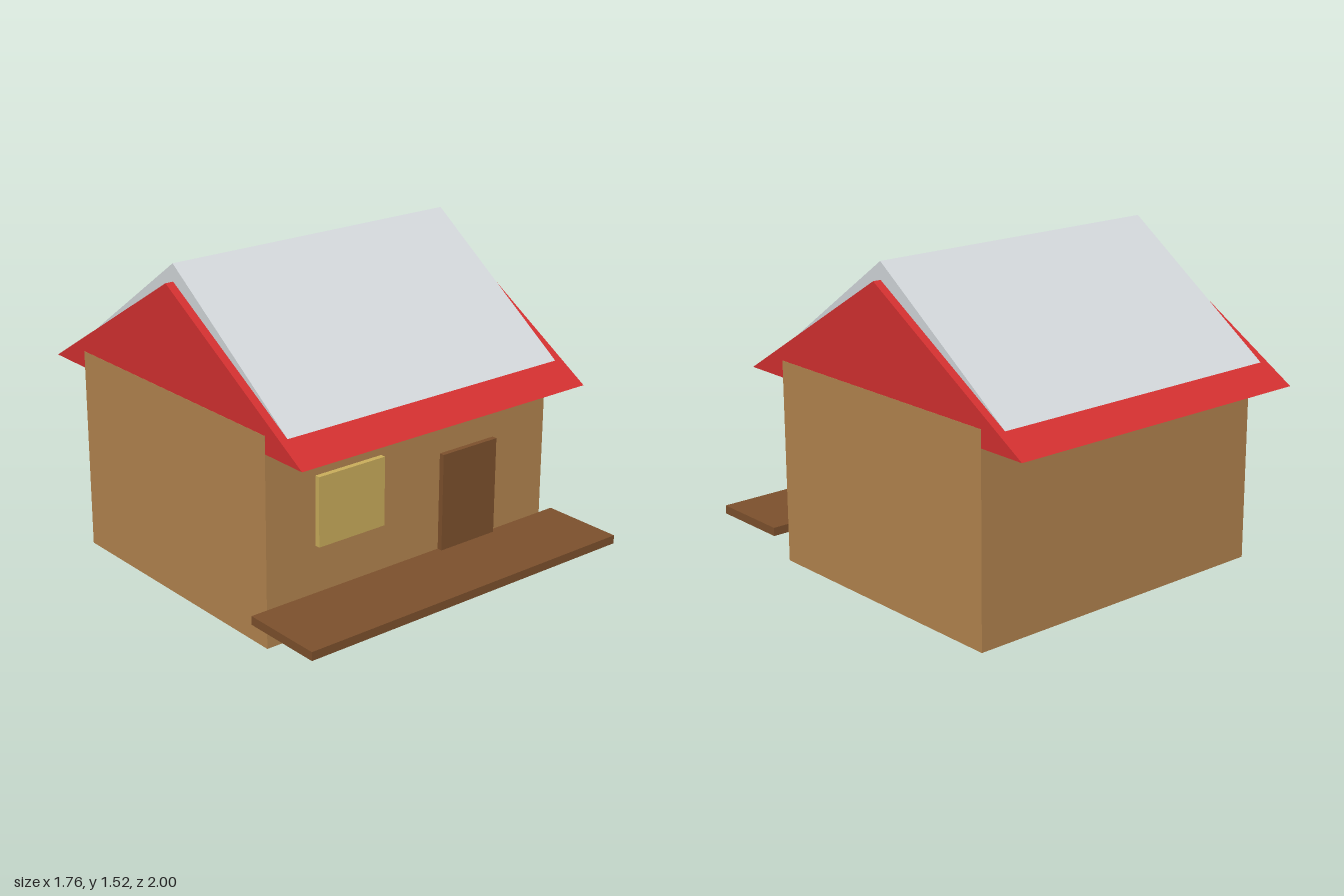
import * as THREE from 'three';

const paint = (name, color) => {
  const m = new THREE.MeshStandardMaterial({ color });
  m.name = name;
  return m;
};

export function createModel() {
  const house = new THREE.Group();
  house.name = 'house';

  const wall = paint('tan wall', 0xb4854f);
  const wood = paint('brown wood', 0x7d512d);
  const glass = paint('yellow window', 0xcbae5c);
  const red = paint('red roof', 0xd33030);
  const grey = paint('pale grey roofing', 0xd3d8db);

  const add = (name, geometry, material) => {
    const mesh = new THREE.Mesh(geometry, material);
    mesh.name = name;
    house.add(mesh);
    return mesh;
  };

  // Box given by its lower and upper corners
  const box = (name, material, [x0, y0, z0], [x1, y1, z1]) =>
    add(name, new THREE.BoxGeometry(x1 - x0, y1 - y0, z1 - z0), material)
      .position.set((x0 + x1) / 2, (y0 + y1) / 2, (z0 + z1) / 2);

  // Triangular prism with its ridge along x
  const ridgeZ = -0.08;
  const gable = (name, material, halfWidth, halfDepth, eaveY, ridgeY) => {
    const profile = new THREE.Shape([
      new THREE.Vector2(-halfDepth, eaveY),
      new THREE.Vector2(halfDepth, eaveY),
      new THREE.Vector2(0, ridgeY),
    ]);
    const g = new THREE.ExtrudeGeometry(profile, { depth: halfWidth * 2, bevelEnabled: false });
    g.translate(0, 0, -halfWidth).rotateY(Math.PI / 2).translate(0, 0, ridgeZ);
    add(name, g, material);
  };

  box('walls', wall, [-0.8, 0, -0.76], [0.8, 0.96, 0.6]);
  box('door', wood, [0.16, 0.002, 0.59], [0.48, 0.64, 0.625]);
  box('window', glass, [-0.54, 0.4, 0.59], [-0.18, 0.72, 0.625]);
  box('porch', wood, [-0.88, 0.14, 0.6], [0.88, 0.18, 1]);

  // Red gable roof, set just inside the wall ends, with grey roofing on top
  gable('roof', red, 0.799, 0.92, 0.88, 1.44);
  gable('roofing', grey, 0.76, 0.78, 0.965, 1.52);

  return house;
}
